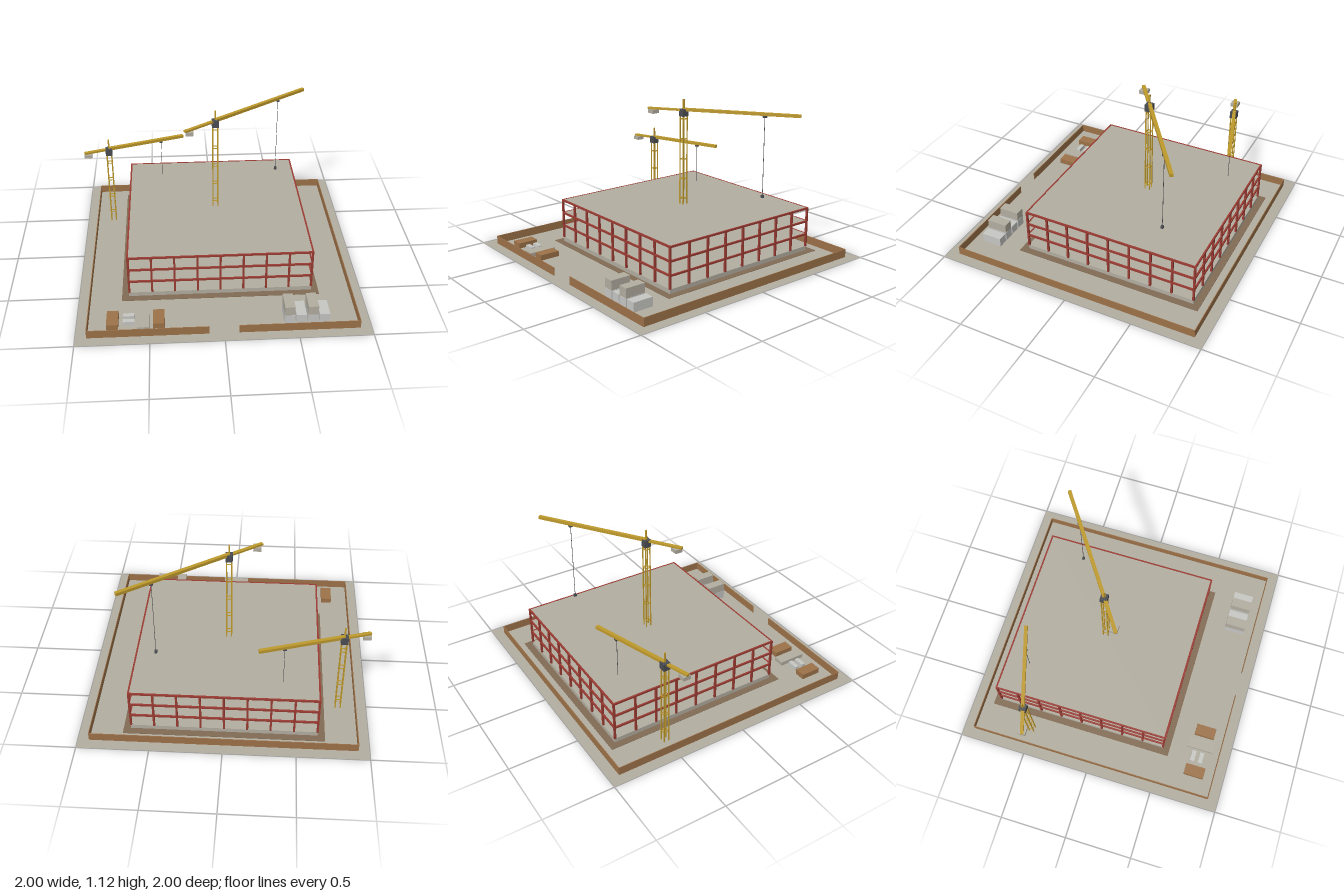
import * as THREE from 'three';

const mat = (name, color, side = THREE.FrontSide) => {
  const m = new THREE.MeshStandardMaterial({ color, side });
  m.name = name;
  return m;
};

export function createModel() {
  const concrete = mat('concrete', 0xb2ada0, THREE.DoubleSide);
  const dirt = mat('dirt', 0x826c54);
  const wood = mat('wood', 0x9c7148);
  const steel = mat('red steel', 0x9a3b32);
  const yellow = mat('crane yellow', 0xbf9a2c);
  const dark = mat('dark metal', 0x4a4d52);
  const light = mat('light grey', 0xc6c6c3);

  const root = new THREE.Group();
  root.name = 'constructionSite';
  const group = (name) => {
    const g = new THREE.Group();
    g.name = name;
    root.add(g);
    return g;
  };
  // box standing with its bottom at y
  const box = (parent, name, material, w, h, d, x, y, z) => {
    const m = new THREE.Mesh(new THREE.BoxGeometry(w, h, d), material);
    m.name = name;
    m.position.set(x, y + h / 2, z);
    parent.add(m);
    return m;
  };

  // ground and excavated border
  const ground = new THREE.Mesh(new THREE.PlaneGeometry(2, 2), concrete);
  ground.name = 'ground';
  ground.rotation.x = -Math.PI / 2;
  root.add(ground);
  box(root, 'dirtPad', dirt, 1.4, 0.003, 1.4, 0, 0, -0.15);

  // perimeter fence with a gate gap at the front
  const fence = group('fence');
  const F = 0.922, T = 0.005, FH = 0.06;
  box(fence, 'backFence', wood, F * 2, FH, T, 0, 0, -F);
  for (const s of [-1, 1]) {
    box(fence, 'sideFence', wood, T, FH, F * 2, s * F, 0, 0);
    box(fence, 'frontFence', wood, F - 0.1, FH, T, s * (F + 0.1) / 2, 0, F);
  }

  // building frame: foundation, columns, beams and floor slabs
  const building = group('building');
  building.position.z = -0.15;
  const H = 0.65, bays = 8, base = 0.035, storey = 0.1;
  box(building, 'foundation', concrete, H * 2, base, H * 2, 0, 0, 0);
  for (let i = 0; i <= bays; i++) {
    for (let j = 0; j <= bays; j++) {
      if (i % bays && j % bays) continue;
      const p = (k) => (k / bays * 2 - 1) * (H - 0.003);
      box(building, 'column', steel, 0.014, storey * 3 - 0.006, 0.014, p(i), base, p(j));
    }
  }
  for (let f = 1; f <= 3; f++) {
    const top = base + f * storey;
    box(building, 'floorSlab', concrete, H * 2 - 0.012, 0.008, H * 2 - 0.012, 0, top - 0.008, 0);
    for (const s of [-1, 1]) {
      box(building, 'beam', steel, H * 2 + 0.008, 0.013, 0.012, 0, top - 0.012, s * (H - 0.002));
      box(building, 'beam', steel, 0.012, 0.013, H * 2 + 0.008, s * (H - 0.002), top - 0.012, 0);
    }
  }

  // tower crane; the jib points along angle, measured from +x towards -z
  function crane(name, x, z, top, length, counter, angle, hookY) {
    const g = group(name);
    g.position.set(x, 0, z);
    const r = 0.018;
    for (const a of [-r, r]) {
      for (const b of [-r, r]) box(g, 'towerLeg', yellow, 0.007, top - 0.04, 0.007, a, 0, b);
    }
    for (let y = 0.08; y < top - 0.06; y += 0.15) {
      for (const s of [-r, r]) {
        box(g, 'towerRung', yellow, r * 2, 0.005, 0.005, 0, y - 0.0025, s);
        box(g, 'towerRung', yellow, 0.005, 0.005, r * 2, s, y - 0.0025, 0);
      }
    }
    box(g, 'cab', dark, 0.05, 0.053, 0.05, 0, top - 0.05, 0);
    box(g, 'peak', yellow, 0.011, 0.075, 0.011, 0, top, 0);

    // jib and counter jib turn together
    const arm = new THREE.Group();
    arm.name = 'arm';
    arm.rotation.y = angle;
    g.add(arm);
    box(arm, 'jib', yellow, length, 0.022, 0.025, length / 2, top - 0.012, 0);
    box(arm, 'counterJib', yellow, counter, 0.014, 0.025, -counter / 2, top - 0.012, 0);

    const at = (d) => [Math.cos(angle) * d, -Math.sin(angle) * d];
    const [cx, cz] = at(-counter * 0.85);
    box(g, 'counterweight', concrete, 0.057, 0.028, 0.057, cx, top - 0.04, cz);
    const [tx, tz] = at(length * 0.7);
    box(g, 'trolley', dark, 0.024, 0.014, 0.024, tx, top - 0.026, tz);
    box(g, 'cable', dark, 0.003, top - 0.02 - hookY, 0.003, tx, hookY, tz);
    box(g, 'hook', dark, 0.018, 0.02, 0.018, tx, hookY - 0.01, tz);
  }
  crane('mainCrane', 0, -0.15, 1.05, 0.85, 0.27, 0.6, 0.443);
  crane('sideCrane', -0.8, -0.5, 0.65, 0.6, 0.19, 0.3, 0.265);

  // site offices, every other one stacked two high
  const offices = group('siteOffices');
  for (let i = 0; i < 4; i++) {
    const x = 0.45 + i * 0.08;
    box(offices, 'lowerOffice', light, 0.07, 0.067, 0.15, x, 0, 0.775);
    if (i % 2 === 0) box(offices, 'upperOffice', concrete, 0.07, 0.067, 0.15, x, 0.068, 0.775);
  }

  // material storage
  const store = group('materialStorage');
  for (const x of [-0.755, -0.44]) box(store, 'timberStack', wood, 0.08, 0.04, 0.15, x, 0, 0.775);
  for (const z of [0.735, 0.795]) box(store, 'pallet', light, 0.08, 0.03, 0.032, -0.645, 0, z);
  box(store, 'panelStack', concrete, 0.08, 0.03, 0.2, -0.545, 0, 0.77);

  return root;
}
